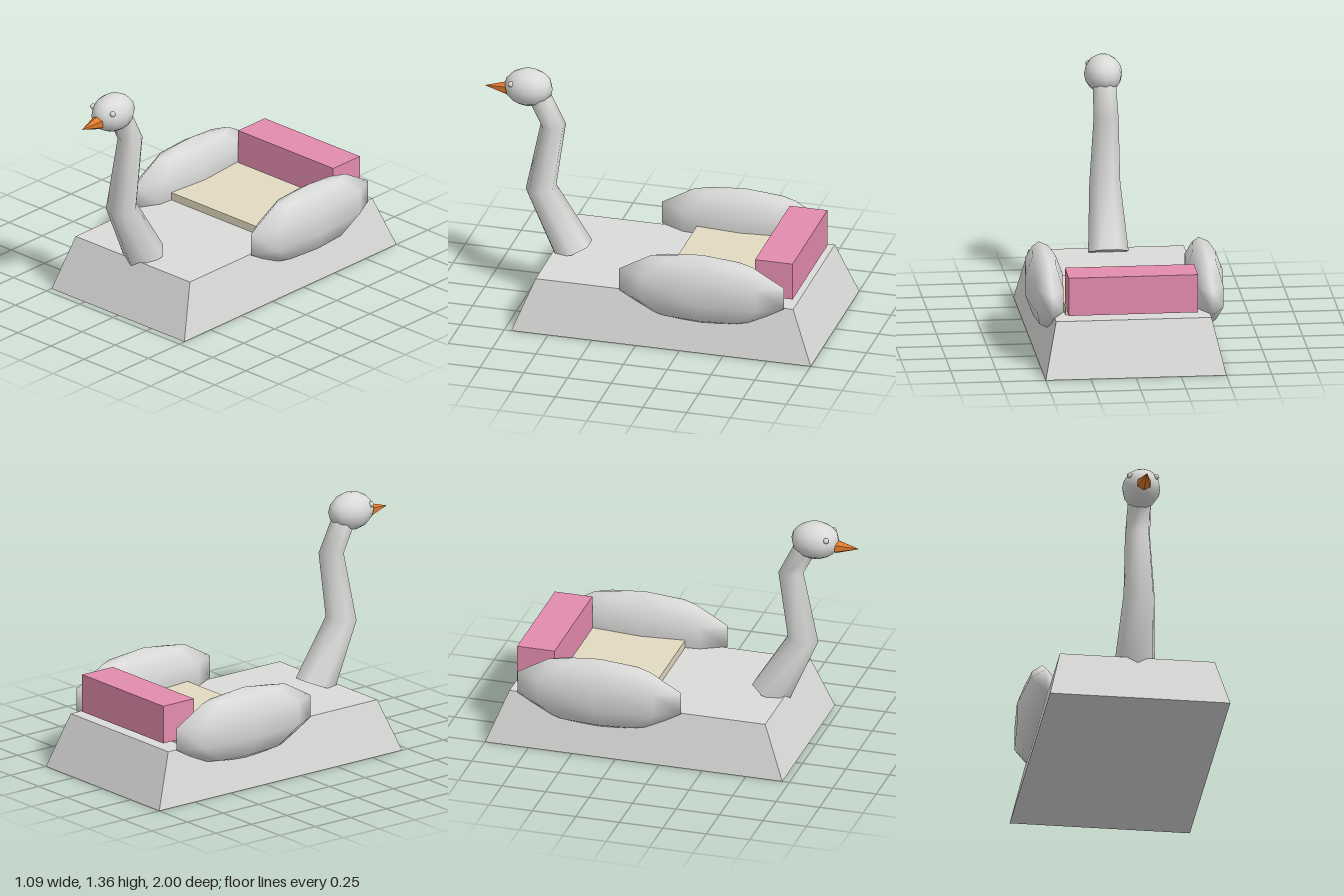
import * as THREE from 'three';

const mat = (name, color, flatShading = false) => {
  const m = new THREE.MeshStandardMaterial({ color, flatShading });
  m.name = name;
  return m;
};

// Tapering neck: each ring is [y, z, radius, forward tilt]
function neckGeometry(rings, sides) {
  const pos = [], idx = [];
  for (const [y, z, r, tilt] of rings) {
    for (let i = 0; i < sides; i++) {
      const a = (i / sides) * Math.PI * 2, f = r * Math.cos(a);
      pos.push(r * Math.sin(a), y - f * Math.sin(tilt), z + f * Math.cos(tilt));
    }
  }
  for (let k = 0; k < rings.length - 1; k++) {
    for (let i = 0; i < sides; i++) {
      const a = k * sides + i, b = k * sides + (i + 1) % sides;
      idx.push(a, b, b + sides, a, b + sides, a + sides);
    }
  }
  const g = new THREE.BufferGeometry();
  g.setAttribute('position', new THREE.Float32BufferAttribute(pos, 3));
  g.setIndex(idx);
  g.computeVertexNormals();
  return g;
}

export function createModel() {
  const group = new THREE.Group();
  group.name = 'swanBoat';
  const white = mat('swanWhite', 0xdadad9);
  const beige = mat('seatBeige', 0xe2d9c0);
  const pink = mat('cushionPink', 0xe38bae);
  const orange = mat('beakOrange', 0xe07a2c);

  const add = (name, geo, material, x, y, z) => {
    const m = new THREE.Mesh(geo, material);
    m.name = name;
    m.position.set(x, y, z);
    group.add(m);
    return m;
  };

  // Hull: box narrowed towards the deck
  const hull = new THREE.BoxGeometry(1, 0.3, 1.71);
  const p = hull.attributes.position;
  for (let i = 0; i < p.count; i++) {
    if (p.getY(i) > 0) p.setXYZ(i, p.getX(i) * 0.86, p.getY(i), p.getZ(i) * 0.86);
  }
  hull.computeVertexNormals();
  add('hull', hull, white, 0, 0.15, -0.145);

  // Bench and backrest
  add('seat', new THREE.BoxGeometry(0.73, 0.055, 0.64), beige, 0, 0.3175, -0.43);
  add('backrest', new THREE.BoxGeometry(0.715, 0.215, 0.215), pink, 0, 0.4325, -0.75);

  // Neck, closed at the foot
  const rings = [
    [0.302, 0.496, 0, 0.375],
    [0.302, 0.496, 0.115, 0.375],
    [0.646, 0.679, 0.088, 0.18],
    [1.04, 0.609, 0.071, 0],
    [1.19, 0.685, 0.066, 0.47],
  ];
  add('neckFoot', neckGeometry(rings.slice(0, 2), 7), white, 0, 0, 0);
  add('neck', neckGeometry(rings.slice(1), 7), white, 0, 0, 0);

  // Head and beak
  add('head', new THREE.SphereGeometry(1, 12, 8), white, 0, 1.252, 0.749).scale.set(0.106, 0.106, 0.137);
  const beak = new THREE.ConeGeometry(0.041, 0.13, 6);
  beak.rotateX(Math.PI / 2);
  const beakMat = orange;
  beakMat.flatShading = true;
  add('beak', beak, beakMat, 0, 1.23, 0.935);

  // Mirrored wings and eyes
  for (const [side, s] of [['left', 1], ['right', -1]]) {
    add(side + 'Wing', new THREE.SphereGeometry(1, 8, 5), white, s * 0.442, 0.365, -0.36)
      .scale.set(0.107, 0.207, 0.495);
    add(side + 'Eye', new THREE.SphereGeometry(0.016, 8, 6), white, s * 0.074, 1.29, 0.832);
  }
  return group;
}
